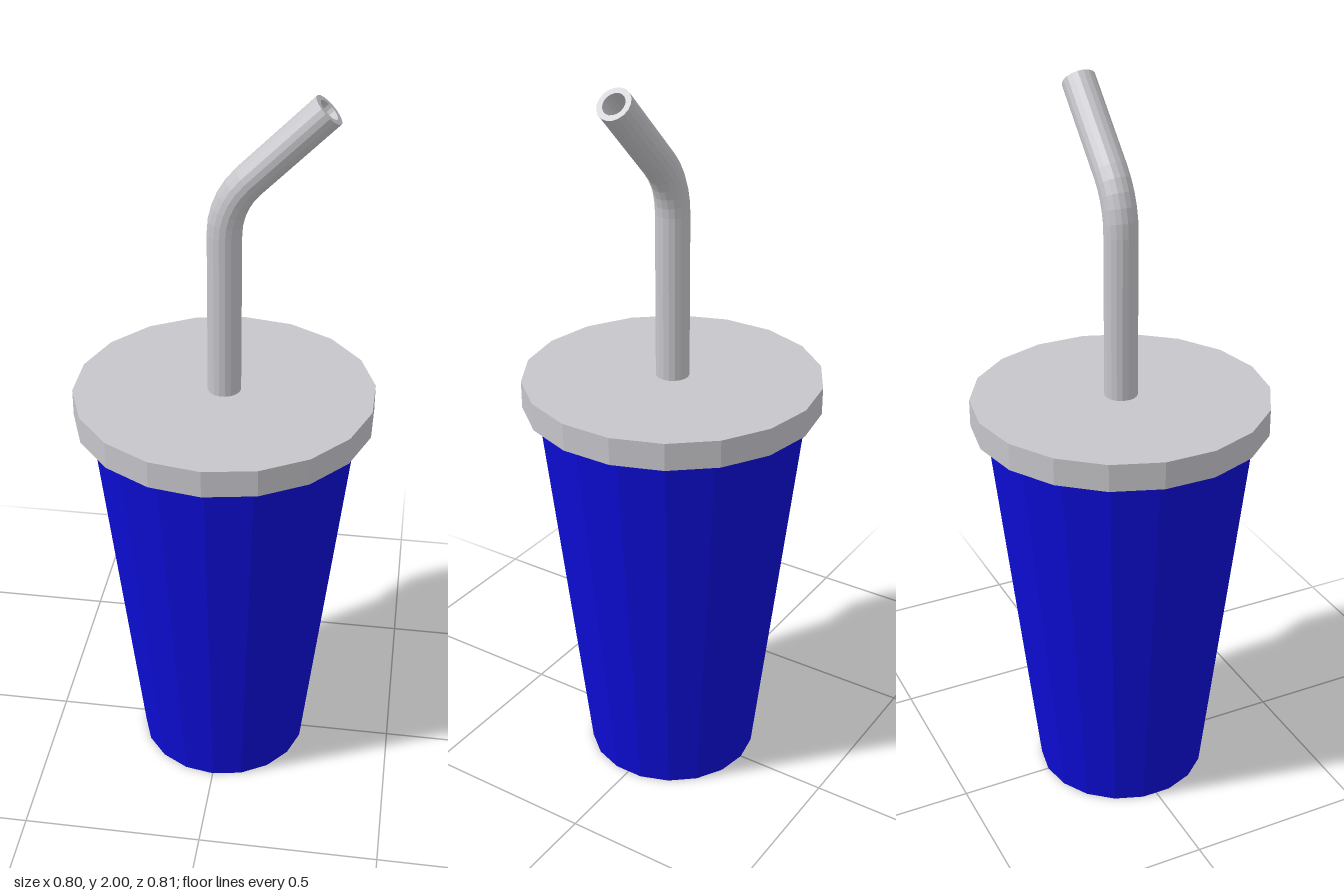
import * as THREE from 'three';

const SIDES = 18;

const blue = new THREE.MeshStandardMaterial({ color: 0x0d0dd8 });
blue.name = 'cup blue';
const grey = new THREE.MeshStandardMaterial({ color: 0xc6c5ca });
grey.name = 'lid grey';

// Give every face its own normal for a low-poly look
function faceted(geometry) {
  const g = geometry.index ? geometry.toNonIndexed() : geometry;
  g.computeVertexNormals();
  return g;
}

function addMesh(group, name, geometry, material) {
  const mesh = new THREE.Mesh(faceted(geometry), material);
  mesh.name = name;
  group.add(mesh);
}

// Hollow bent tube: rings run up the outside, over the rim and down the inside
function strawGeometry(outer, inner) {
  const bendStart = 1.633, bendRadius = 0.205, steps = 5, bend = Math.PI / 4;
  const path = [{ x: 0, y: 1.15, t: 0 }];
  for (let i = 0; i <= steps; i++) {
    const t = bend * i / steps;
    path.push({
      x: bendRadius * (1 - Math.cos(t)),
      y: bendStart + bendRadius * Math.sin(t),
      t,
    });
  }
  path.push({ x: 0.25, y: 1.968, t: bend });

  const rings = [
    ...path.map((p) => ({ ...p, r: outer })),
    ...path.slice().reverse().map((p) => ({ ...p, r: inner })),
  ];
  const positions = [], index = [];
  rings.forEach(({ x, y, t, r }, i) => {
    for (let j = 0; j < SIDES; j++) {
      const a = j / SIDES * Math.PI * 2;
      const n = r * Math.cos(a);
      positions.push(x + n * Math.cos(t), y - n * Math.sin(t), r * Math.sin(a));
      if (i === rings.length - 1) continue;
      const k = (j + 1) % SIDES;
      const p = i * SIDES, q = p + SIDES;
      index.push(p + j, q + j, p + k, q + j, q + k, p + k);
    }
  });
  const g = new THREE.BufferGeometry();
  g.setAttribute('position', new THREE.Float32BufferAttribute(positions, 3));
  g.setIndex(index);
  return g;
}

export function createModel() {
  const group = new THREE.Group();
  group.name = 'drinkCup';

  // Tapered cup
  const cup = new THREE.CylinderGeometry(0.364, 0.24, 1.11, SIDES);
  addMesh(group, 'cup', cup.translate(0, 0.555, 0), blue);

  // Flat overhanging lid
  const lid = new THREE.CylinderGeometry(0.404, 0.404, 0.075, SIDES);
  addMesh(group, 'lid', lid.translate(0, 1.1475, 0), grey);

  // Bent drinking straw
  addMesh(group, 'straw', strawGeometry(0.045, 0.03), grey);

  return group;
}
